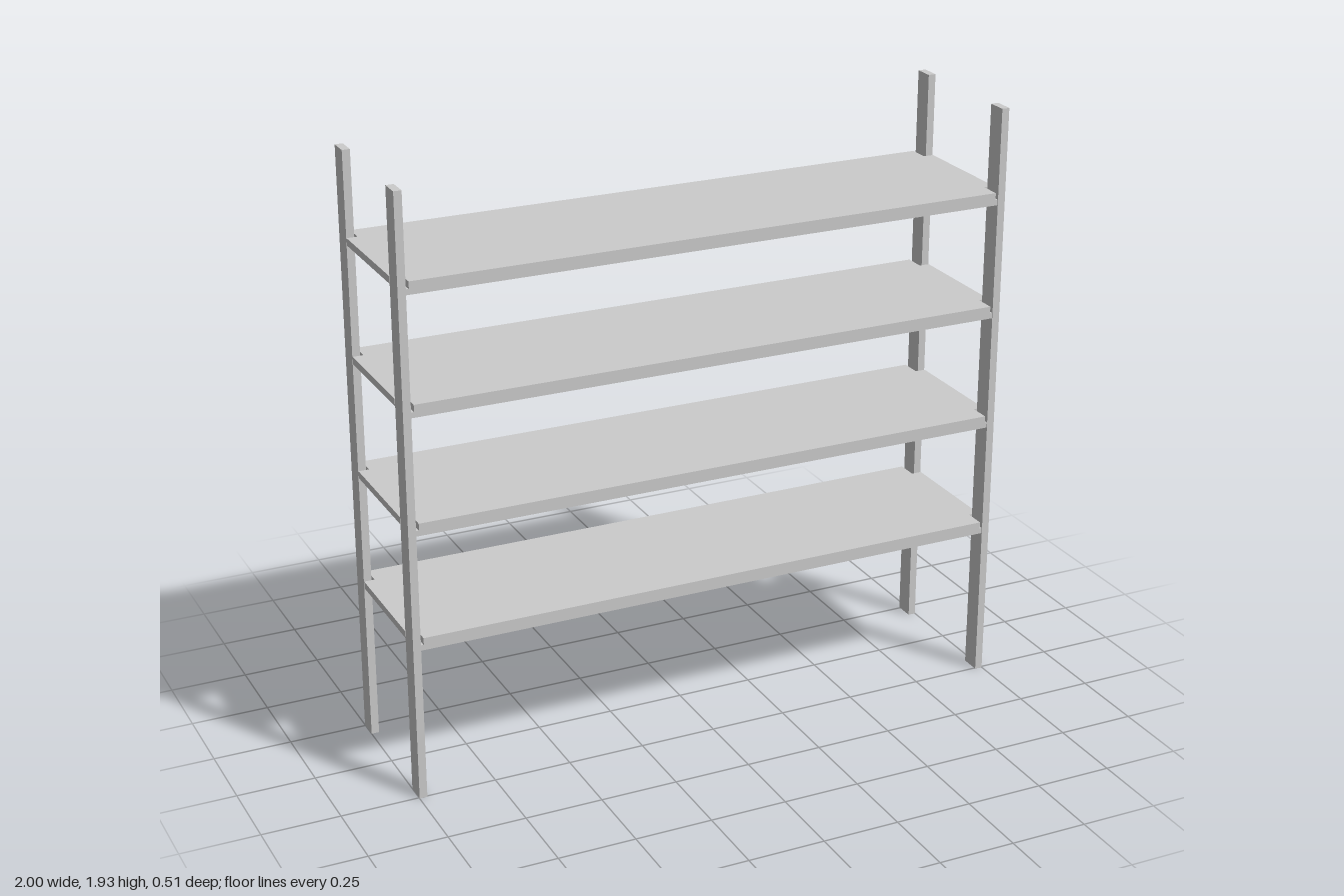
import * as THREE from 'three';

const material = new THREE.MeshStandardMaterial({ color: 0xcccccc, flatShading: true });

export function createModel() {
  const model = new THREE.Group();
  model.name = 'shelvingUnit';
  const add = (name, geometry, x, y, z) => {
    const mesh = new THREE.Mesh(geometry, material);
    mesh.name = name;
    mesh.position.set(x, y, z);
    model.add(mesh);
  };

  // Four upright posts at the corners
  const height = 1.935;
  const post = new THREE.BoxGeometry(0.025, height, 0.065);
  for (const x of [-1, 1])
    for (const z of [-1, 1])
      add((z > 0 ? 'front' : 'back') + (x > 0 ? 'Left' : 'Right') + 'Post', post, x * 0.9875, height / 2, z * 0.2225);

  // Shelf board with corners notched round the posts
  const outline = new THREE.Shape([
    [-1, -0.187], [-0.966, -0.187], [-0.966, -0.255], [0.966, -0.255], [0.966, -0.187], [1, -0.187],
    [1, 0.187], [0.966, 0.187], [0.966, 0.255], [-0.966, 0.255], [-0.966, 0.187], [-1, 0.187],
  ].map(([x, y]) => new THREE.Vector2(x, y)));
  const board = new THREE.ExtrudeGeometry(outline, { depth: 0.023, bevelEnabled: false });
  board.rotateX(-Math.PI / 2);

  // Long rails that carry each board between the posts
  const rail = new THREE.BoxGeometry(1.95, 0.018, 0.018);
  for (let i = 0; i < 4; i++) {
    const top = 0.541 + i * 0.375;
    add('shelfBoard' + (i + 1), board, 0, top - 0.023, 0);
    add('frontRail' + (i + 1), rail, 0, top - 0.032, 0.244);
    add('backRail' + (i + 1), rail, 0, top - 0.032, -0.244);
  }
  return model;
}
